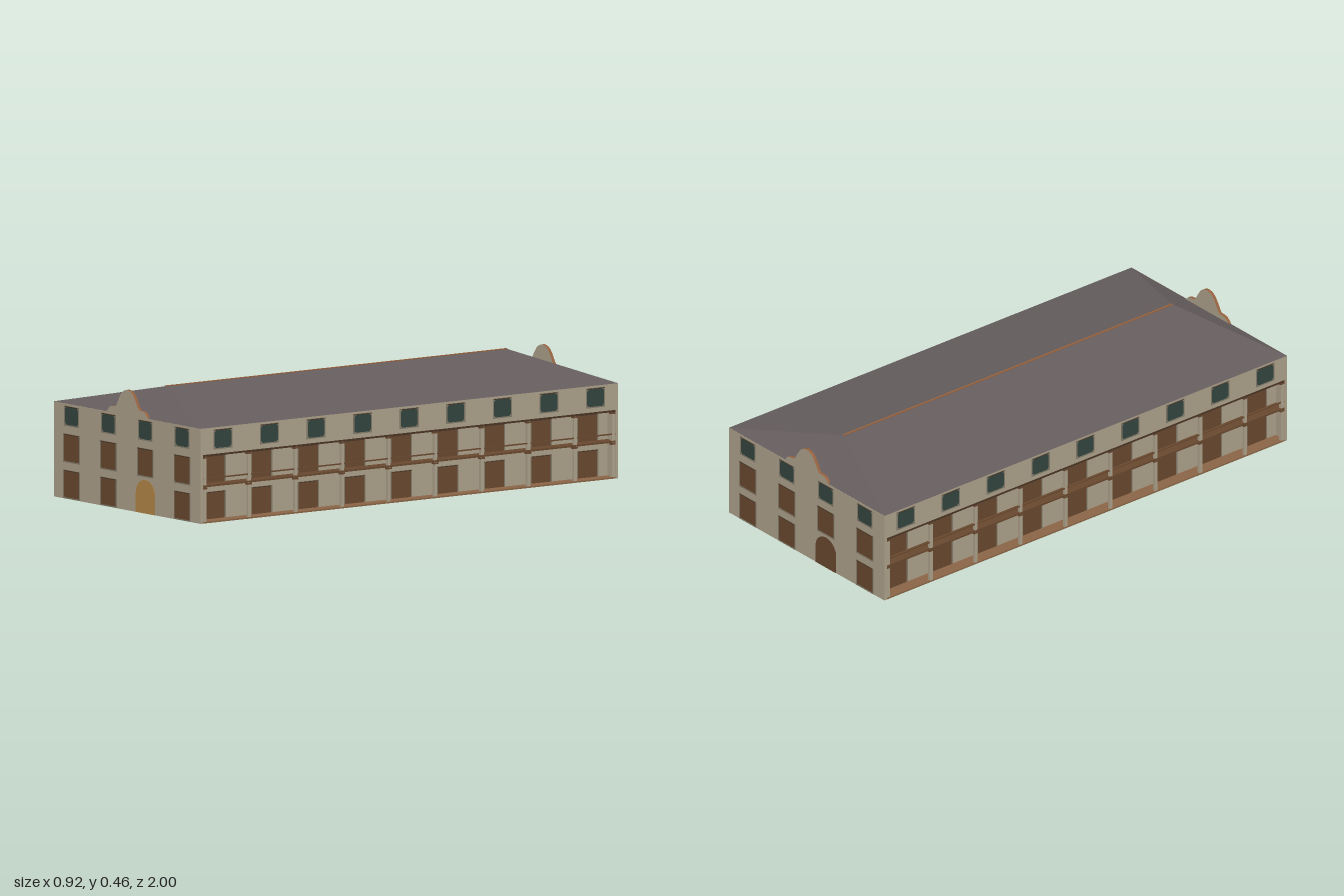
import * as THREE from 'three';

const mat = (name, color, side = THREE.FrontSide) => {
  const m = new THREE.MeshStandardMaterial({ color, side });
  m.name = name;
  return m;
};

export function createModel() {
  const wall = mat('plaster', 0xaca08a);
  const roofMat = mat('roof slate', 0x655d5d, THREE.DoubleSide);
  const wood = mat('brown wood', 0x68482e);
  const gold = mat('golden door', 0xb48646);
  const green = mat('green glass', 0x33443e);
  const frameMat = mat('stone frame', 0x837b6a);
  const coping = mat('terracotta coping', 0x94603c);
  const floorMat = mat('veranda floor', 0x8a6546);
  const dark = mat('dark timber', 0x4a3524);

  const model = new THREE.Group();
  model.name = 'longHouse';

  const add = (parent, name, geo, material, x = 0, y = 0, z = 0) => {
    const m = new THREE.Mesh(geo, material);
    m.name = name;
    m.position.set(x, y, z);
    parent.add(m);
    return m;
  };
  const box = (parent, name, w, h, d, material, x, y, z) =>
    add(parent, name, new THREE.BoxGeometry(w, h, d), material, x, y, z);

  // Extrusion centred on z = 0
  const slab = (shape, depth, curveSegments = 12) =>
    new THREE.ExtrudeGeometry(shape, { depth, bevelEnabled: false, curveSegments })
      .translate(0, 0, -depth / 2);

  // Rectangle outline with cut corners
  const cutRect = (w, h, c) => [
    [-w + c, -h], [w - c, -h], [w, -h + c], [w, h - c],
    [w - c, h], [-w + c, h], [-w, h - c], [-w, -h + c],
  ].map(([x, y]) => new THREE.Vector2(x, y));

  // Framed opening showing on both sides of a thin wall
  const opening = (parent, name, x, y0, y1, width, material, cut) => {
    const g = new THREE.Group();
    g.name = name;
    g.position.set(x, (y0 + y1) / 2, 0);
    const w = width / 2, h = (y1 - y0) / 2, b = 0.0045;
    const ring = new THREE.Shape([[-w, -h], [w, -h], [w, h], [-w, h]].map(p => new THREE.Vector2(...p)));
    ring.holes.push(new THREE.Path(cutRect(w - b, h - b, cut)));
    add(g, 'frame', slab(ring, 0.016), frameMat);
    add(g, 'pane', slab(new THREE.Shape(cutRect(w - b, h - b, cut)), 0.0135), material);
    // Darker line along the head of the frame
    box(g, 'lintel', width - 0.008, 0.003, 0.0168, dark, 0, h - 0.003, 0);
    parent.add(g);
  };
  const upperWindow = (p, x) => opening(p, 'upperWindow', x, 0.28, 0.357, 0.09, green, 0.008);
  const middleDoor = (p, x) => opening(p, 'middleShutter', x, 0.14, 0.25, 0.102, wood, 0.003);
  const groundDoor = (p, x) => opening(p, 'groundShutter', x, 0.001, 0.111, 0.102, wood, 0.003);

  // Arched entrance
  const arch = new THREE.Shape();
  arch.moveTo(-0.06, 0);
  arch.lineTo(0.06, 0);
  arch.lineTo(0.06, 0.073);
  arch.absellipse(0, 0.073, 0.06, 0.056, 0, Math.PI, false);
  arch.closePath();

  // Curved gable outline, right half mirrored to the left
  const half = [[0.132, 0.363], [0.119, 0.377], [0.109, 0.386], [0.098, 0.389], [0.074, 0.391],
    [0.067, 0.398], [0.058, 0.414], [0.048, 0.43], [0.036, 0.446], [0.02, 0.457], [0, 0.462]];
  const gable = new THREE.Shape([...half, ...half.slice(0, -1).reverse().map(([x, y]) => [-x, y])]
    .map(p => new THREE.Vector2(...p)));

  // End walls, the same at front and back apart from the entrance colour
  for (const end of [1, -1]) {
    const g = new THREE.Group();
    g.name = end > 0 ? 'frontWall' : 'backWall';
    g.position.z = 0.9915 * end;
    if (end < 0) g.rotation.y = Math.PI;
    box(g, 'wall', 0.92, 0.365, 0.012, wall, 0, 0.1825, 0);
    add(g, 'gable', slab(gable, 0.0124), [wall, coping]);
    for (const x of [-0.347, -0.116, 0.114, 0.345]) {
      upperWindow(g, x);
      middleDoor(g, x);
      if (x !== 0.114) groundDoor(g, x);
    }
    add(g, 'archedDoor', slab(arch, 0.015), end > 0 ? gold : wood, 0.115, 0, 0);
    model.add(g);
  }

  // Long sides: flush upper storey over a recessed veranda with a balcony
  const L = 1.971, recess = 0.05, pitch = 0.2225, mid = 0.004 - recess / 2;
  for (const side of [1, -1]) {
    const g = new THREE.Group();
    g.name = side > 0 ? 'leftSide' : 'rightSide';
    g.position.x = 0.4515 * side;
    g.rotation.y = side * Math.PI / 2;
    box(g, 'upperWall', L, 0.105, 0.012, wall, 0, 0.3125, 0);
    const inner = new THREE.Group();
    inner.name = 'recessedWall';
    inner.position.z = -recess;
    box(inner, 'lowerWall', L, 0.26, 0.012, wall, 0, 0.13, 0);
    g.add(inner);
    box(g, 'verandaFloor', L, 0.006, recess + 0.008, floorMat, 0, 0.003, mid);
    box(g, 'balconyFloor', L, 0.007, recess + 0.008, wood, 0, 0.142, mid);
    box(g, 'verandaCeiling', L, 0.007, recess + 0.008, dark, 0, 0.2595, mid);
    box(g, 'handrail', L, 0.005, 0.005, wood, 0, 0.171, 0.004);
    for (let i = -4; i <= 4; i++) {
      upperWindow(g, i * pitch);
      middleDoor(inner, i * pitch);
      groundDoor(inner, i * pitch);
    }
    for (let i = 0; i < 10; i++) {
      const x = Math.max(-0.976, Math.min(0.976, (i - 4.5) * pitch + 0.016));
      box(g, 'post', 0.013, 0.252, 0.012, wall, x, 0.13, 0.001);
      for (const y of [0.134, 0.252]) box(g, 'postCapital', 0.022, 0.007, 0.014, wood, x, y, 0.001);
    }
    model.add(g);
  }

  // Hipped roof
  const e = 0.9965;
  const A = [-0.46, 0.365, e], B = [0.46, 0.365, e], C = [0.46, 0.365, -e], D = [-0.46, 0.365, -e];
  const R = [0, 0.46, 0.815], S = [0, 0.46, -0.815];
  const roofGeo = new THREE.BufferGeometry();
  roofGeo.setAttribute('position', new THREE.Float32BufferAttribute(
    [A, B, R, B, C, S, B, S, R, C, D, S, D, A, R, D, R, S].flat(), 3));
  roofGeo.computeVertexNormals();
  add(model, 'roof', roofGeo, roofMat);
  box(model, 'ridge', 0.009, 0.005, 1.63, coping, 0, 0.4595, 0);

  return model;
}
